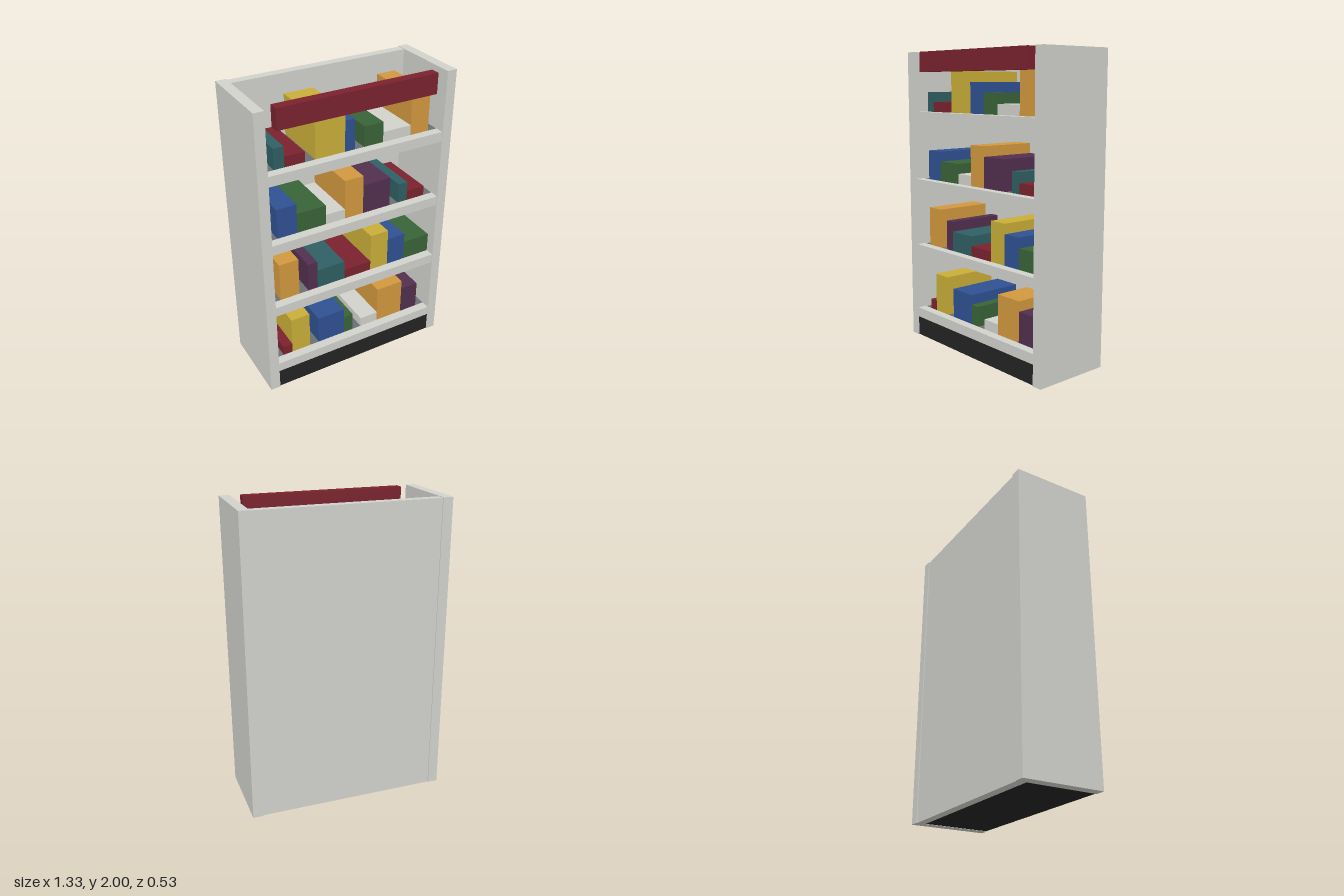
import * as THREE from 'three';

const U = 1 / 15; // design module

const colours = {
  frame: 0xd2d2cd, shelf: 0x6b6f73, plinth: 0x242424, red: 0x7a222e, yellow: 0xc9ae38,
  blue: 0x2f5192, green: 0x396338, teal: 0x2f5f63, orange: 0xd2983e, purple: 0x522f4e,
};
const mats = {};

// Box given by its minimum and maximum corners, in modules
function box(parent, name, colour, [x0, y0, z0], [x1, y1, z1]) {
  const geo = new THREE.BoxGeometry((x1 - x0) * U, (y1 - y0) * U, (z1 - z0) * U);
  const mesh = new THREE.Mesh(geo, mats[colour]);
  mesh.position.set((x0 + x1) / 2 * U, (y0 + y1) / 2 * U, (z0 + z1) / 2 * U);
  mesh.name = name;
  parent.add(mesh);
  return mesh;
}

// Goods on each shelf: colour, left edge, right edge, height (modules)
const rows = [
  [['red', -8, -7, 1], ['yellow', -7, -5, 4], ['blue', -4, -1, 3], ['green', -1, 0, 2],
    ['frame', 1, 3, 1], ['orange', 3, 6, 4], ['purple', 6, 8, 3]],
  [['orange', -8, -6, 4], ['purple', -5, -4, 3], ['teal', -4, -1, 2], ['red', -1, 2, 1],
    ['yellow', 2, 4, 4], ['blue', 4, 6, 3], ['green', 6, 9, 2]],
  [['blue', -8, -6, 3], ['green', -6, -3, 2], ['frame', -3, -1, 1], ['orange', -1, 1, 4],
    ['purple', 1, 4, 3], ['teal', 5, 6, 2], ['red', 6, 8, 1]],
  [['teal', -8, -7, 2], ['red', -7, -5, 1], ['yellow', -4, -1, 4], ['blue', -1, 0, 3],
    ['green', 1, 3, 2], ['frame', 3, 6, 1], ['orange', 6, 8, 4]],
];

export function createModel() {
  const group = new THREE.Group();
  group.name = 'shelvingUnit';
  for (const [name, color] of Object.entries(colours)) {
    mats[name] = new THREE.MeshStandardMaterial({ color });
    mats[name].name = name;
  }

  // Frame
  box(group, 'rightPanel', 'frame', [-10, 0, -4], [-9, 30, 4]);
  box(group, 'leftPanel', 'frame', [9, 0, -4], [10, 30, 4]);
  box(group, 'backPanel', 'frame', [-9, 0, -3.9], [9, 29.95, -3]);
  box(group, 'plinth', 'plinth', [-9, 0.03, -3], [9, 2, 3.92]);

  // Shelves with front rails and the goods standing on them
  rows.forEach((goods, i) => {
    const y = 3 + i * 7;
    const tier = new THREE.Group();
    tier.name = `tier${i + 1}`;
    box(tier, 'shelfBoard', 'shelf', [-8.9, y - 1, -2.95], [9, y - 0.03, 3]);
    box(tier, 'frontRail', 'frame', [-9, y - 1, 3], [9, y, 3.92]);
    for (const [colour, x0, x1, h] of goods) {
      box(tier, 'book', colour, [x0, y - 0.03, -3], [x1, y + h, 2.98]);
    }
    group.add(tier);
  });

  // Header board across the top front
  box(group, 'headerBoard', 'red', [-8, 28, 3], [8, 30, 3.95]);
  return group;
}
